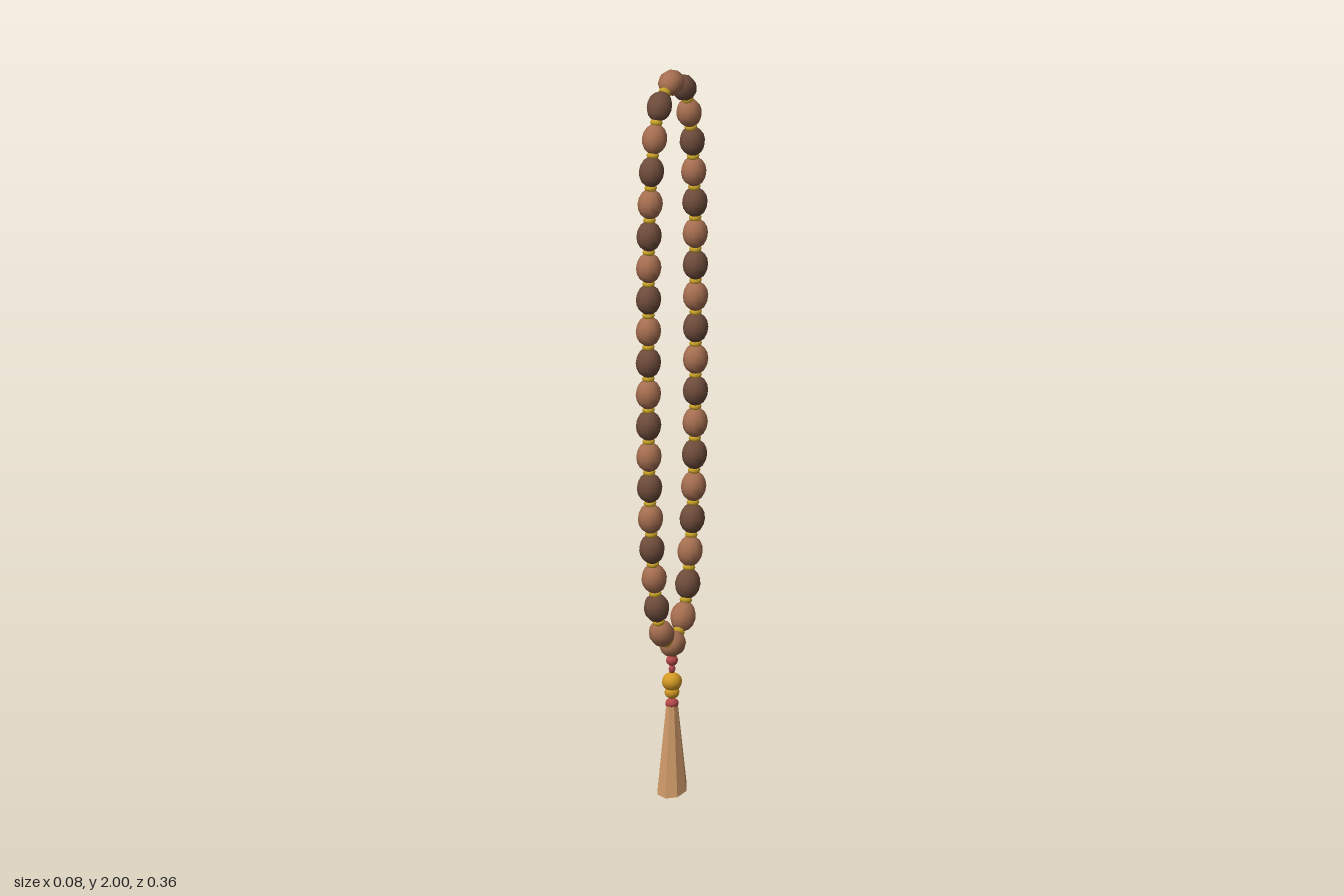
import * as THREE from 'three';

const mat = (name, color) => {
  const m = new THREE.MeshStandardMaterial({ color });
  m.name = name;
  return m;
};

export function createModel() {
  const group = new THREE.Group();
  const lightWood = mat('lightWood', 0xa56e50);
  const darkWood = mat('darkWood', 0x6e4c3b);
  const brass = mat('brass', 0xc9a227);
  const amber = mat('amber', 0xd49a24);
  const red = mat('redThread', 0xb5484a);
  const tan = mat('tasselTan', 0xcf9a68);

  const add = (name, geometry, material, pos) => {
    const mesh = new THREE.Mesh(geometry, material);
    mesh.name = name;
    mesh.position.copy(pos);
    group.add(mesh);
    return mesh;
  };

  // Loop path in the YZ plane: one half as [z, y], mirrored for the other
  const half = [[0.077, 1.928], [0.108, 1.845], [0.127, 1.76], [0.135, 1.675], [0.142, 1.587],
    [0.145, 1.415], [0.146, 1.24], [0.145, 1.07], [0.139, 0.895], [0.125, 0.722],
    [0.111, 0.635], [0.096, 0.548], [0.066, 0.468]];
  const points = [[0, 1.97], ...half, [0, 0.415], ...half.slice().reverse().map(([z, y]) => [-z, y])]
    .map(([z, y]) => new THREE.Vector3(0, y, z));
  const loop = new THREE.CatmullRomCurve3(points, true);
  loop.arcLengthDivisions = 1000;

  // Alternating wooden beads with brass spacers between them
  const count = 38;
  const beadGeo = new THREE.SphereGeometry(1, 10, 8).scale(0.034, 0.041, 0.034);
  const spacerGeo = new THREE.SphereGeometry(1, 10, 6).scale(0.017, 0.011, 0.017);
  const up = new THREE.Vector3(0, 1, 0);
  const onLoop = (name, geo, material, t) => {
    const u = (t / count + 0.0012) % 1;
    add(name, geo, material, loop.getPointAt(u)).quaternion.setFromUnitVectors(up, loop.getTangentAt(u));
  };
  for (let i = 0; i < count; i++) {
    // Both the top bead and the bottom bead are light
    const fromTop = Math.min(i, count - i);
    const isLight = fromTop % 2 === 0 || fromTop === count / 2;
    onLoop('bead', beadGeo, isLight ? lightWood : darkWood, i);
    onLoop('spacer', spacerGeo, brass, i + 0.5);
  }

  // Pendant: stacked small beads below the loop, [name, y, radius, height radius, material]
  const stack = [
    ['redBead', 0.371, 0.016, 0.015, red], ['redKnot', 0.347, 0.009, 0.012, red],
    ['amberBead', 0.312, 0.027, 0.025, amber], ['brassBead', 0.283, 0.02, 0.018, amber],
    ['tasselKnot', 0.252, 0.018, 0.014, red],
  ];
  for (const [name, y, r, h, material] of stack) {
    add(name, new THREE.SphereGeometry(1, 10, 8).scale(r, h, r), material, new THREE.Vector3(0, y, 0));
  }
  add('cord', new THREE.CylinderGeometry(0.005, 0.005, 0.16, 6), red, new THREE.Vector3(0, 0.32, 0));

  // Faceted tassel with a slanted bottom, lowest at the front
  let tassel = new THREE.CylinderGeometry(0.016, 0.041, 0.235, 8).translate(0, 0.1335, 0);
  const p = tassel.attributes.position;
  for (let i = 0; i < p.count; i++) {
    if (p.getY(i) < 0.1) p.setY(i, 0.014 - p.getZ(i) * 0.33);
  }
  tassel = tassel.toNonIndexed();
  tassel.computeVertexNormals();
  add('tassel', tassel, tan, new THREE.Vector3(0, 0, 0));

  return group;
}
